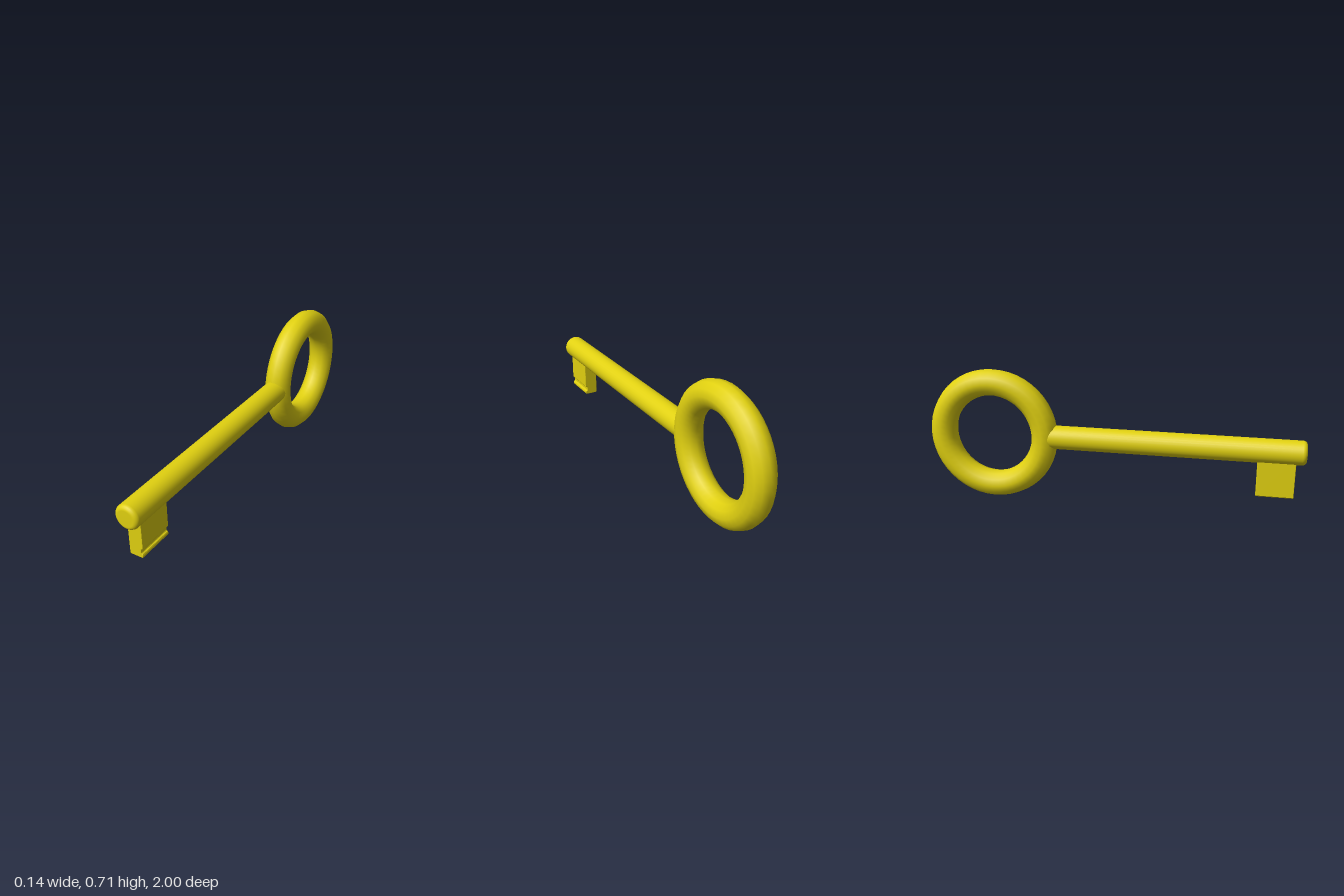
import * as THREE from 'three';

export function createModel() {
  const key = new THREE.Group();
  key.name = 'key';
  const brass = new THREE.MeshStandardMaterial({ color: 0xe0d010 });
  const axisY = 0.356;

  const add = (name, geometry, y, z) => {
    const mesh = new THREE.Mesh(geometry, brass);
    mesh.name = name;
    mesh.position.set(0, y, z);
    key.add(mesh);
  };

  // Ring handle, standing in the YZ plane
  const ring = new THREE.TorusGeometry(0.284, 0.071, 12, 48).rotateY(Math.PI / 2);
  add('bow', ring, axisY, -0.645);

  // Round shaft with a softened tip, turned to point forward
  const radius = 0.063, soft = 0.022;
  const profile = [new THREE.Vector2(0, -0.37), new THREE.Vector2(radius, -0.37), new THREE.Vector2(radius, -0.36)];
  for (let i = 0; i <= 5; i++) {
    const a = (i / 5) * Math.PI / 2;
    profile.push(new THREE.Vector2(radius - soft + soft * Math.cos(a), 1 - soft + soft * Math.sin(a)));
  }
  profile.push(new THREE.Vector2(0, 1));
  add('shaft', new THREE.LatheGeometry(profile, 32).rotateX(Math.PI / 2), axisY, 0);

  // Bit: plate under the tip with a groove along its left face
  const bevel = 0.003;
  const plate = new THREE.Shape([
    [-0.033, 0.33], [-0.033, 0.125], [-0.029, 0.121], [0.031, 0.121], [0.034, 0.125],
    [0.034, 0.133], [0.032, 0.137], [0.027, 0.139], [0.024, 0.144], [0.024, 0.162],
    [0.027, 0.167], [0.033, 0.169], [0.035, 0.173], [0.035, 0.33],
  ].map(([x, y]) => new THREE.Vector2(x, y)));
  const bit = new THREE.ExtrudeGeometry(plate, {
    depth: 0.19 - 2 * bevel, bevelEnabled: true, bevelSize: bevel, bevelThickness: bevel, bevelSegments: 2,
  });
  add('bit', bit, 0, 0.76 + bevel);

  return key;
}
